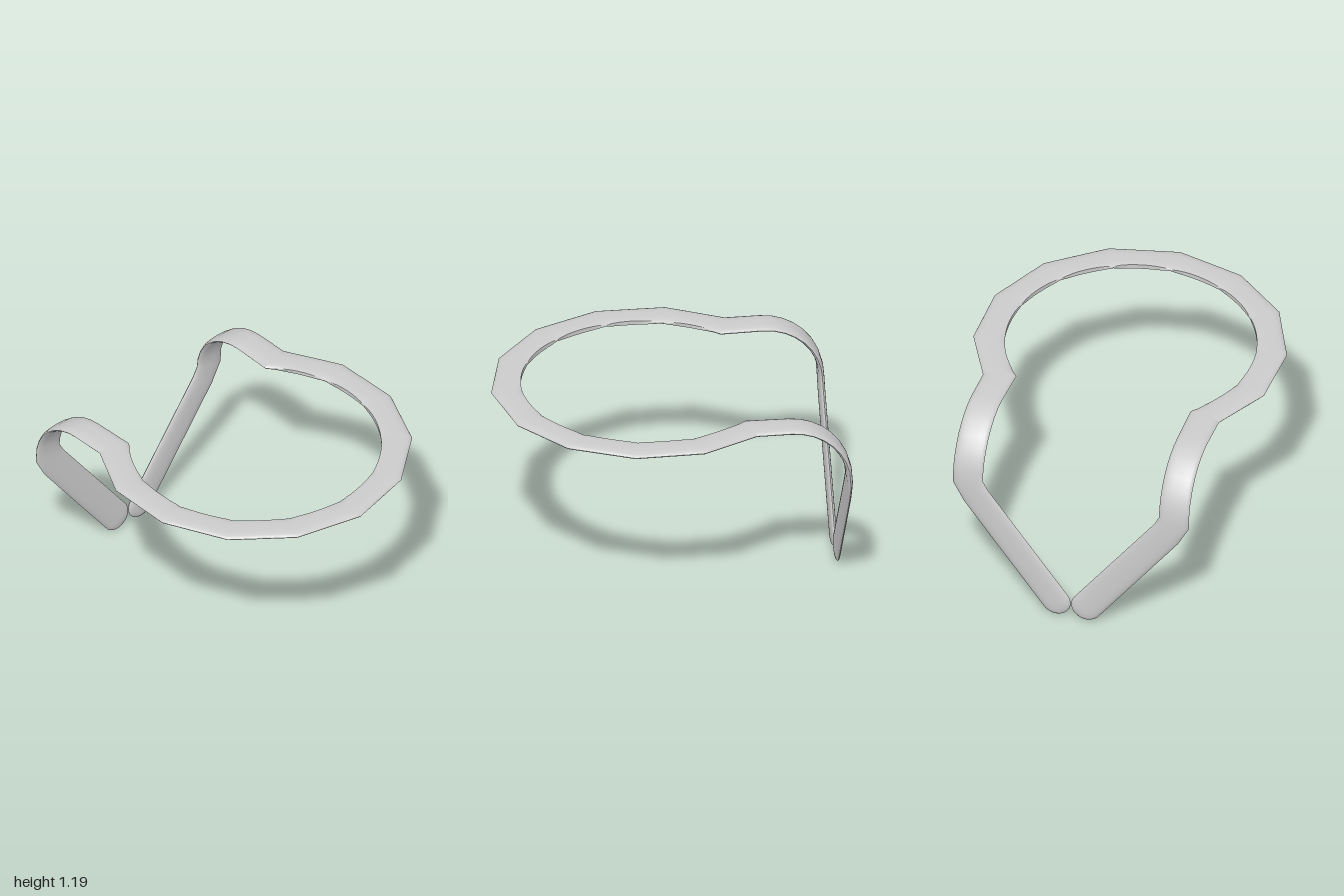
import * as THREE from 'three';
import { toCreasedNormals } from 'three/addons/utils/BufferGeometryUtils.js';

const WIDTH = 0.18, HALF = 0.0175, EDGE = 0.07;   // band width, half thickness, edge rounding
const TOP = 1.172, BACK = -0.982;                 // mid-planes of the ring and of the legs
const V = (x, y, z) => new THREE.Vector3(x, y, z);
const UP = V(0, 1, 0), REAR = V(0, 0, -1);

// Half thickness at distance d from a rounded edge
const thickness = (d) => HALF * Math.sqrt(1 - Math.max(0, 1 - d / EDGE) ** 2);
const steps = [0, 1, 2, 3, 4].map((i) => EDGE * (1 - Math.cos((i * Math.PI) / 8)));

// A row is one cross-section: inner edge a, outer edge b, face normal n,
// cut = width trimmed off the inner edge, k = thickness scale
const row = (a, b, n, cut = 0, k = 1) => ({ a, b, n, cut, k });
const flip = (v) => V(-v.x, v.y, v.z);
const mirror = (rows) => rows.map((r) => ({ ...r, a: flip(r.a), b: flip(r.b), n: flip(r.n) })).reverse();

function section({ a, b, n, cut, k }) {
  const samples = [
    ...steps.map((d) => [d / WIDTH, thickness(d)]),
    ...[...steps].reverse().map((d) => [1 - d / WIDTH, thickness(d + cut)]),
  ];
  const side = (s) => samples.map(([t, h]) => b.clone().lerp(a, t).addScaledVector(n, s * h * k));
  return [...side(1), ...side(-1).reverse()];
}

// Skin a list of rows into a smooth band with a crisp trimmed edge
function band(rows, name, material) {
  const loops = rows.map(section), m = loops[0].length, index = [];
  for (let i = 0; i < loops.length - 1; i++) {
    for (let j = 0; j < m; j++) {
      const p = i * m + j, q = i * m + ((j + 1) % m);
      index.push(p, p + m, q + m, p, q + m, q);
    }
  }
  const geometry = new THREE.BufferGeometry().setFromPoints(loops.flat());
  geometry.setIndex(index);
  const mesh = new THREE.Mesh(toCreasedNormals(geometry, 1.2), material);
  mesh.name = name;
  return mesh;
}

// Half of the ring: faceted outside, round opening inside
function halfRing() {
  const corners = [[0, 0.997], [0.4, 0.9], [0.71, 0.65], [0.88, 0.28], [0.875, -0.12], [0.71, -0.44]];
  const angles = corners.map(([x, z]) => Math.atan2(x, z - 0.1));
  angles[5] = Math.atan2(0.53, -0.5);
  const rows = [], n = 8;
  for (let i = 0; i <= 5 * n; i++) {
    const e = Math.min(4, Math.floor(i / n)), t = i / n - e;
    const mix = (p, q) => p + (q - p) * t;
    const angle = mix(angles[e], angles[e + 1]);
    const a = V(0.72 * Math.sin(angle), TOP, 0.1 + 0.72 * Math.cos(angle));
    const b = V(mix(corners[e][0], corners[e + 1][0]), TOP, mix(corners[e][1], corners[e + 1][1]));
    rows.push(row(a, b, UP, Math.max(0, WIDTH - a.distanceTo(b))));
  }
  return rows;
}

// Straight strap, bend and slanted leg with a round tip
function armRows(first) {
  const rows = [first], radius = 0.342;
  for (let i = 0; i < 8; i++) {
    const f = (i * Math.PI) / 16;
    const n = V(0, Math.cos(f), -Math.sin(f));
    const y = TOP - radius + radius * n.y, z = BACK + radius + radius * n.z;
    rows.push(row(V(0.53, y, z), V(0.71, y, z), n));
  }
  rows.push(row(V(0.53, 0.84, BACK), V(0.71, 0.8, BACK), REAR));
  const across = V(0.8, -0.6, 0), along = V(0.6, 0.8, 0), tip = V(0.092, 0.09, BACK);
  const legRow = (s, half, k) => {
    const c = tip.clone().addScaledVector(along, s);
    rows.push(row(c.clone().addScaledVector(across, -half), c.clone().addScaledVector(across, half), REAR, 0, k));
  };
  legRow(0.8, 0.09, 1);
  for (let i = 0; i <= 10; i++) {
    const f = (i * Math.PI) / 20, s = 0.09 * Math.sin(f);
    legRow(-s, 0.09 * Math.cos(f), thickness(0.09 - s) / HALF);
  }
  return rows;
}

export function createModel() {
  const material = new THREE.MeshStandardMaterial({ color: 0xcccccc });
  const group = new THREE.Group();
  group.name = 'ringHolder';
  const half = halfRing();
  const arm = armRows(half[half.length - 1]);
  group.add(
    band([...mirror(half), ...half.slice(1)], 'ring', material),
    band(arm, 'leftArm', material),
    band(mirror(arm), 'rightArm', material),
  );
  return group;
}
